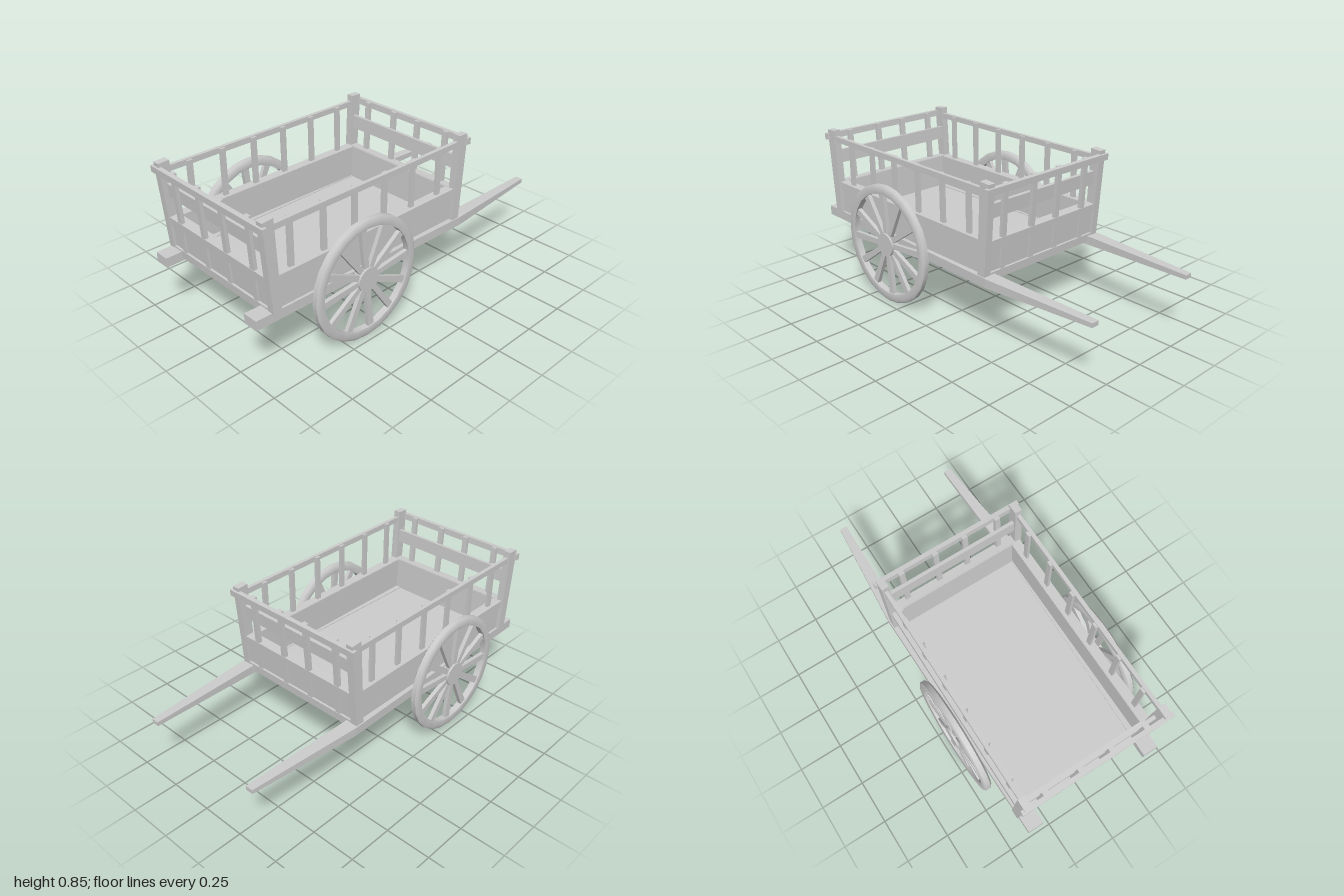
import * as THREE from 'three';
import { toCreasedNormals } from 'three/addons/utils/BufferGeometryUtils.js';

const flat = new THREE.MeshStandardMaterial({ color: 0xcccccc, flatShading: true });
const smooth = new THREE.MeshStandardMaterial({ color: 0xcccccc });

function add(parent, name, geometry, material = flat) {
  const mesh = new THREE.Mesh(geometry, material);
  mesh.name = name;
  parent.add(mesh);
  return mesh;
}

// Box given by its limits on each axis
function block(parent, name, x0, x1, y0, y1, z0, z1) {
  const g = new THREE.BoxGeometry(x1 - x0, y1 - y0, z1 - z0);
  g.translate((x0 + x1) / 2, (y0 + y1) / 2, (z0 + z1) / 2);
  return add(parent, name, g);
}

// Beam along z; sections are [z, xInner, xOuter, yBottom, yTop], front to back
function shaftGeometry(sections, side) {
  const n = sections.length - 1;
  const g = new THREE.BoxGeometry(1, 1, 1, 1, 1, n);
  const p = g.attributes.position;
  for (let i = 0; i < p.count; i++) {
    const [z, xi, xo, y0, y1] = sections[Math.round((0.5 - p.getZ(i)) * n)];
    const outer = p.getX(i) * side > 0;
    p.setXYZ(i, side * (outer ? xo : xi), p.getY(i) > 0 ? y1 : y0, z);
  }
  return g;
}

// Sloping end of the body, built facing +z with its foot at y = 0
function endWall(name) {
  const end = new THREE.Group();
  end.name = name;
  for (const s of [-1, 1]) {
    // Corner post, wider at the top
    const g = new THREE.BoxGeometry(0.04, 0.485, 0.05);
    const p = g.attributes.position;
    for (let i = 0; i < p.count; i++) if (p.getY(i) > 0) p.setZ(i, p.getZ(i) * 1.26);
    g.translate(s * 0.395, 0.2425, 0);
    add(end, 'cornerPost', g);
  }
  // Framed board
  block(end, 'endBoard', -0.38, 0.38, -0.028, 0.183, -0.035, 0.01);
  block(end, 'upperFrameRail', -0.376, 0.376, 0.14, 0.185, -0.03, 0.022);
  block(end, 'lowerFrameRail', -0.376, 0.376, -0.03, 0.015, -0.03, 0.022);
  // Open part
  block(end, 'middleRail', -0.376, 0.376, 0.292, 0.367, -0.018, 0.002);
  block(end, 'topRail', -0.43, 0.43, 0.43, 0.465, 0.018, 0.043);
  for (const x of [-0.287, -0.09, 0.085, 0.283]) {
    block(end, 'slat', x - 0.015, x + 0.015, 0.01, 0.463, 0, 0.02);
  }
  return end;
}

function wheel() {
  const w = new THREE.Group();
  const profile = [
    [0.285, 0.018], [0.285, -0.018], [0.318, -0.023], [0.333, -0.013],
    [0.333, 0.013], [0.318, 0.023], [0.285, 0.018],
  ].map(([r, y]) => new THREE.Vector2(r, y));
  const rim = toCreasedNormals(new THREE.LatheGeometry(profile, 24), 0.8);
  rim.rotateZ(Math.PI / 2);
  add(w, 'rim', rim, smooth);
  const hub = new THREE.CylinderGeometry(0.065, 0.065, 0.044, 20);
  hub.rotateZ(Math.PI / 2);
  add(w, 'hub', toCreasedNormals(hub, 0.8), smooth);
  // Spokes widen toward the rim
  for (let i = 0; i < 12; i++) {
    const g = new THREE.BoxGeometry(0.022, 0.25, 0.028);
    const p = g.attributes.position;
    for (let k = 0; k < p.count; k++) if (p.getY(k) > 0) p.setZ(k, p.getZ(k) * 1.35);
    g.translate(0, 0.17, 0);
    g.rotateX(i * Math.PI / 6 + 0.09);
    add(w, 'spoke', g);
  }
  return w;
}

export function createModel() {
  const cart = new THREE.Group();
  cart.name = 'cart';

  block(cart, 'floor', -0.37, 0.37, 0.345, 0.375, -0.335, 0.885);
  block(cart, 'axleBeam', -0.43, 0.43, 0.297, 0.37, 0.33, 0.41);

  // Sloping ends
  const tilt = 0.06;
  const front = endWall('frontEnd');
  front.position.set(0, 0.375, 0.886);
  front.rotation.x = tilt;
  const back = endWall('backEnd');
  back.position.set(0, 0.375, -0.333);
  back.rotation.set(tilt, Math.PI, 0, 'YXZ');
  cart.add(front, back);

  for (const s of [-1, 1]) {
    const side = new THREE.Group();
    side.name = s > 0 ? 'leftSide' : 'rightSide';
    cart.add(side);
    const slab = (name, xi, xo, ...rest) =>
      block(side, name, Math.min(s * xi, s * xo), Math.max(s * xi, s * xo), ...rest);

    // Side board, rails and slats
    slab('sideBoard', 0.35, 0.392, 0.36, 0.558, -0.325, 0.88);
    slab('lowerRail', 0.352, 0.405, 0.518, 0.56, -0.335, 0.89);
    slab('topRail', 0.385, 0.406, 0.795, 0.826, -0.35, 0.91);
    for (let i = 0; i < 6; i++) {
      const z = 0.772 - i * 0.197;
      slab('slat', 0.371, 0.387, 0.55, 0.822, z - 0.015, z + 0.015);
    }

    // Long shaft running under the body and out at the back
    add(side, 'shaft', shaftGeometry([
      [1, 0.315, 0.402, 0.327, 0.38],
      [-0.37, 0.345, 0.422, 0.33, 0.378],
      [-1, 0.33, 0.372, 0.346, 0.369],
    ], s));

    const w = wheel();
    w.name = s > 0 ? 'leftWheel' : 'rightWheel';
    w.position.set(s * 0.45, 0.34, 0.37);
    cart.add(w);
  }
  cart.position.y = -0.007;
  const root = new THREE.Group();
  root.add(cart);
  return root;
}
